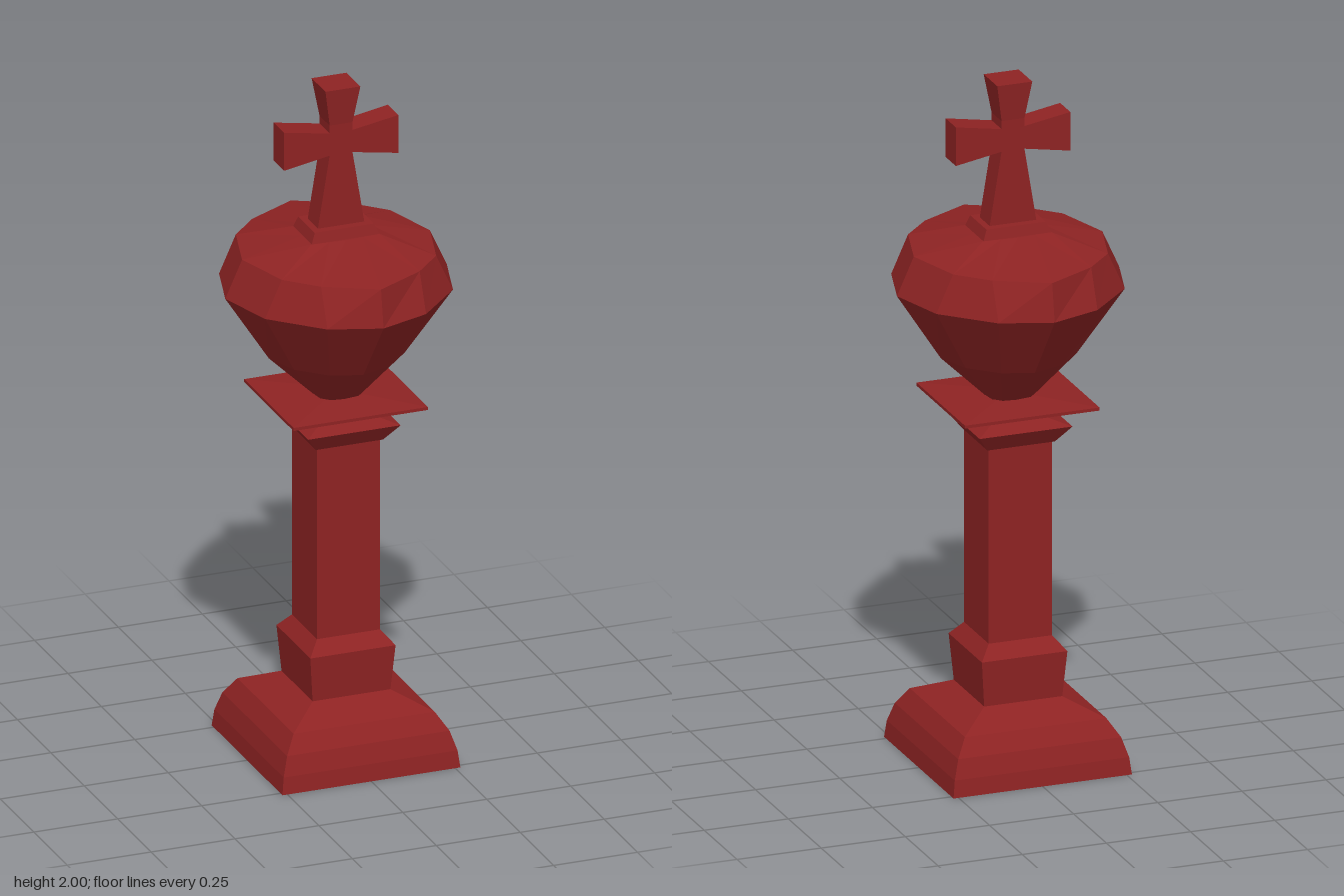
import * as THREE from 'three';

const red = new THREE.MeshStandardMaterial({ color: 0x8e2323, flatShading: true });
red.name = 'dark red';

// Rectangular ring with half sizes x and z
const rect = (x, z = x) => [[x, z], [-x, z], [-x, -z], [x, -z]];

// Twelve-point ring mirrored from one quarter (from +x round to +z)
function oval([a, b, c, d]) {
  const m = (p, sx, sz) => [p[0] * sx, p[1] * sz];
  return [a, b, c, d, m(c, -1, 1), m(b, -1, 1), m(a, -1, 1),
    m(b, -1, -1), m(c, -1, -1), m(d, 1, -1), m(c, 1, -1), m(b, 1, -1)];
}

// Closed solid through horizontal rings, listed from bottom to top as [y, ring]
function loft(name, levels) {
  const pos = [];
  const n = levels[0][1].length;
  const put = (l, i) => {
    const [y, ring] = levels[l];
    pos.push(ring[i % n][0], y, ring[i % n][1]);
  };
  for (let l = 0; l < levels.length - 1; l++) {
    for (let i = 0; i < n; i++) {
      put(l, i); put(l + 1, i); put(l, i + 1);
      put(l, i + 1); put(l + 1, i); put(l + 1, i + 1);
    }
  }
  const top = levels.length - 1;
  for (let i = 1; i < n - 1; i++) {
    put(0, 0); put(0, i); put(0, i + 1);
    put(top, 0); put(top, i + 1); put(top, i);
  }
  const geo = new THREE.BufferGeometry();
  geo.setAttribute('position', new THREE.Float32BufferAttribute(pos, 3));
  geo.computeVertexNormals();
  const mesh = new THREE.Mesh(geo, red);
  mesh.name = name;
  return mesh;
}

export function createModel() {
  const king = new THREE.Group();
  king.name = 'chessKing';

  // Domed square foot, plinth and shaft
  king.add(loft('foot', [
    [0, rect(0.265)], [0.05, rect(0.259)], [0.105, rect(0.242)],
    [0.155, rect(0.21)], [0.2, rect(0.116)],
  ]));
  king.add(loft('plinth', [[0.2, rect(0.116)], [0.335, rect(0.127)], [0.375, rect(0.094)]]));
  king.add(loft('shaft', [[0.37, rect(0.094)], [0.95, rect(0.094)]]));

  // Flared capital and thin collar plate
  king.add(loft('capital', [[0.948, rect(0.1)], [1.0, rect(0.138)], [1.02, rect(0.07)]]));
  king.add(loft('collarPlate', [
    [1.015, rect(0.075)], [1.055, rect(0.2, 0.185)], [1.064, rect(0.2, 0.185)],
    [1.075, rect(0.06)],
  ]));

  // Faceted oval head
  const widest = [[0.33, 0], [0.28, 0.172], [0.147, 0.305], [0, 0.356]];
  king.add(loft('head', [
    [1.07, oval([[0.065, 0], [0.06, 0.04], [0.04, 0.06], [0, 0.065]])],
    [1.2, oval([[0.2, 0], [0.165, 0.1], [0.088, 0.175], [0, 0.205]])],
    [1.4, oval(widest)],
    [1.51, oval([[0.28, 0], [0.23, 0.172], [0.147, 0.257], [0, 0.337]])],
    [1.555, oval([[0.102, 0], [0.102, 0.07], [0.05, 0.073], [0, 0.077]])],
  ]));
  king.add(loft('crossBase', [[1.55, rect(0.102, 0.071)], [1.585, rect(0.088, 0.062)]]));

  // Flared cross
  const cross = new THREE.Group();
  cross.name = 'cross';
  cross.add(loft('crossStem', [
    [1.58, rect(0.07, 0.038)], [1.8, rect(0.034, 0.038)], [1.89, rect(0.034, 0.038)],
    [2.0, rect(0.052, 0.052)],
  ]));
  for (const side of [-1, 1]) {
    const arm = loft('crossArm', [[0.02, rect(0.031, 0.038)], [0.17, rect(0.057, 0.039)]]);
    arm.rotation.z = -side * Math.PI / 2;
    arm.position.y = 1.833;
    cross.add(arm);
  }
  king.add(cross);
  return king;
}
